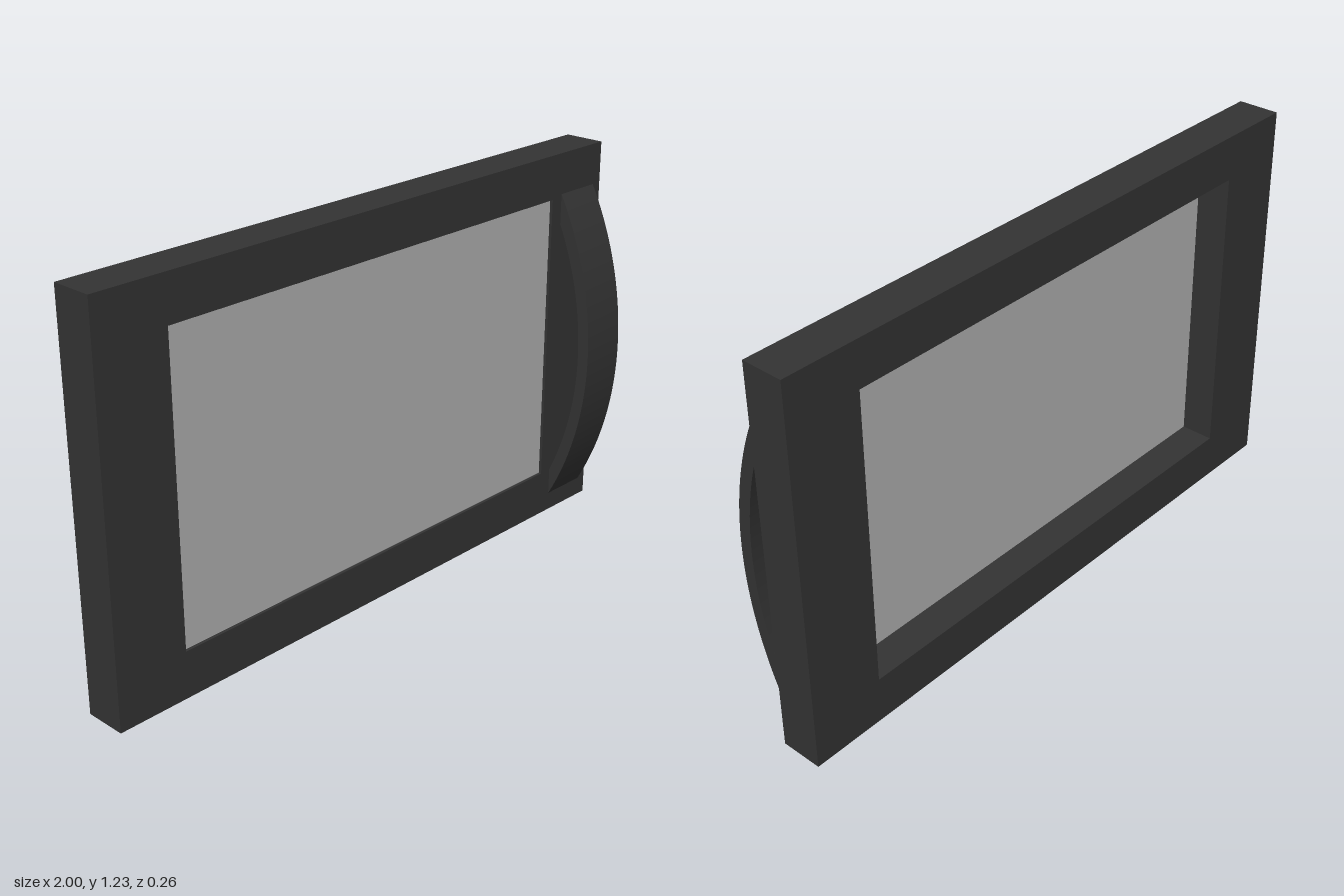
import * as THREE from 'three';
import { toCreasedNormals } from 'three/addons/utils/BufferGeometryUtils.js';

const HEIGHT = 1.225, DEPTH = 0.132;
const OPENING = { x0: -0.767, x1: 0.763, y0: 0.147, y1: 1.084 };

function rectangle(path, x0, y0, x1, y1) {
  path.moveTo(x0, y0).lineTo(x1, y0).lineTo(x1, y1).lineTo(x0, y1).closePath();
  return path;
}

function addMesh(group, name, geometry, color) {
  const mesh = new THREE.Mesh(geometry, new THREE.MeshStandardMaterial({ color }));
  mesh.name = name;
  group.add(mesh);
  return mesh;
}

export function createModel() {
  const door = new THREE.Group();
  door.name = 'ovenDoor';

  // Door frame with a rectangular window opening, front face at z = 0
  const { x0, x1, y0, y1 } = OPENING;
  const frameShape = rectangle(new THREE.Shape(), -1, 0, 1, HEIGHT);
  frameShape.holes.push(rectangle(new THREE.Path(), x0, y0, x1, y1));
  const frame = new THREE.ExtrudeGeometry(frameShape, { depth: DEPTH, bevelEnabled: false });
  frame.translate(0, 0, -DEPTH);
  addMesh(door, 'frame', frame, 0x333333);

  // Window pane, set just behind the front face
  const pane = new THREE.BoxGeometry(x1 - x0, y1 - y0, 0.015);
  addMesh(door, 'windowPane', pane, 0xb0b0b0)
    .position.set((x0 + x1) / 2, (y0 + y1) / 2, -0.0175);

  // Bowed handle: side profile between two arcs, swept across its width
  const outer = { z: -0.938, y: 0.577, r: 1.071 };
  const inner = { z: -0.909, y: 0.573, r: 1.003 };
  const outerAngle = Math.acos(-outer.z / outer.r);
  const innerAngle = Math.acos(-inner.z / inner.r);
  const profile = new THREE.Shape();
  profile.absarc(outer.z, outer.y, outer.r, -outerAngle, outerAngle, false);
  profile.absarc(inner.z, inner.y, inner.r, innerAngle, -innerAngle, true);
  const handle = new THREE.ExtrudeGeometry(profile, {
    depth: 0.16, bevelEnabled: false, curveSegments: 32,
  });
  handle.rotateY(-Math.PI / 2).translate(0.966, 0, 0);
  addMesh(door, 'handle', toCreasedNormals(handle, 0.5), 0x333333);

  return door;
}
